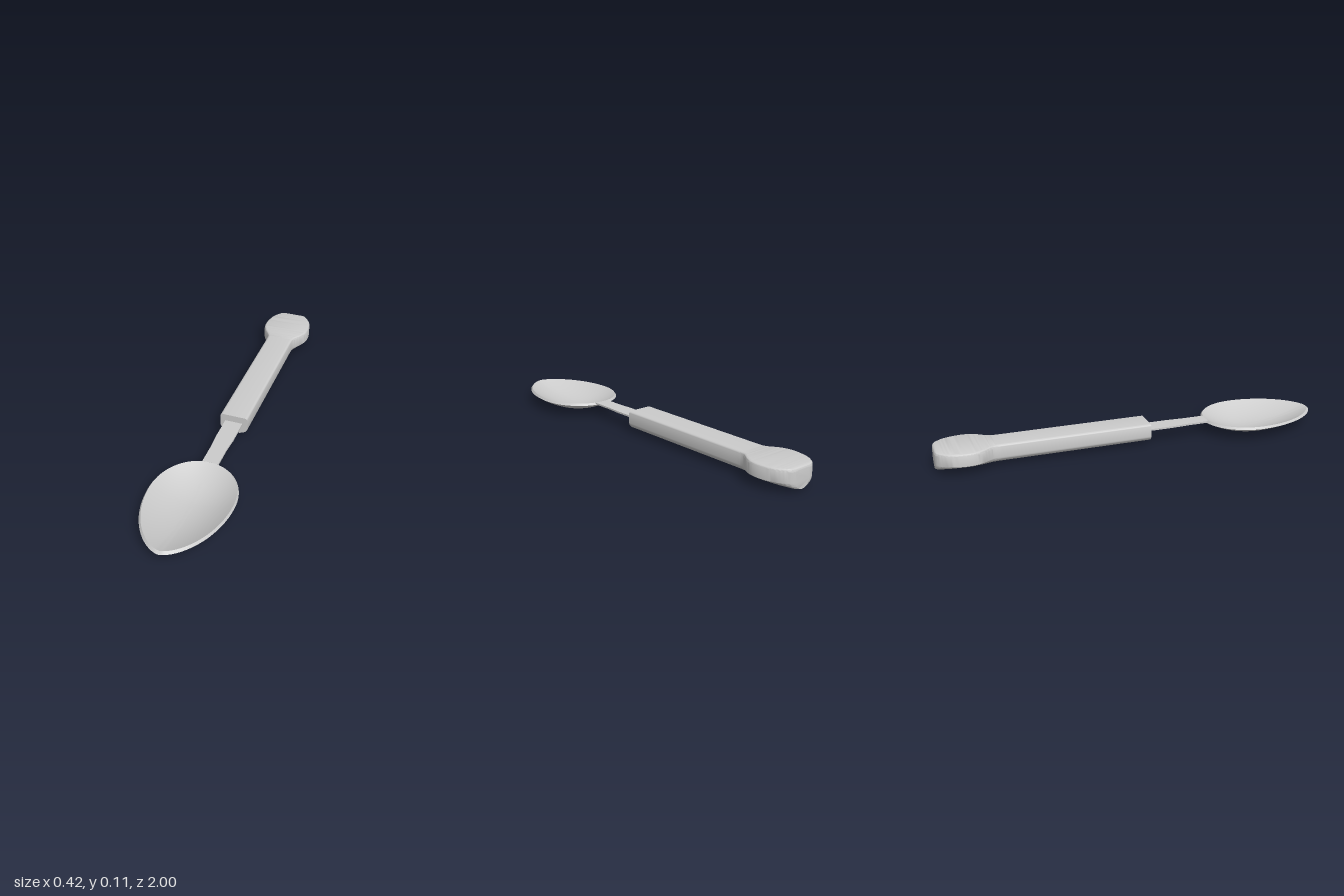
import * as THREE from 'three';
import { toCreasedNormals } from 'three/addons/utils/BufferGeometryUtils.js';

const material = new THREE.MeshStandardMaterial({ color: 0xcccccc });

// Closed solid through a list of rings with equal point counts.
function loft(rings, crease) {
  const n = rings[0].length, positions = [], index = [];
  rings.forEach(ring => ring.forEach(p => positions.push(p.x, p.y, p.z)));
  for (let i = 0; i < rings.length - 1; i++) {
    for (let j = 0; j < n; j++) {
      const k = (j + 1) % n;
      const a = i * n + j, b = i * n + k, c = b + n, d = a + n;
      index.push(a, b, c, a, c, d);
    }
  }
  const last = (rings.length - 1) * n;
  for (let j = 1; j < n - 1; j++) {
    index.push(0, j + 1, j, last, last + j, last + j + 1);
  }
  const geometry = new THREE.BufferGeometry();
  geometry.setAttribute('position', new THREE.Float32BufferAttribute(positions, 3));
  geometry.setIndex(index);
  return toCreasedNormals(geometry, crease);
}

function addPart(group, name, geometry) {
  const mesh = new THREE.Mesh(geometry, material);
  mesh.name = name;
  group.add(mesh);
}

// Egg-shaped ring of the bowl, scaled by t about its deepest point.
function bowlRing(t, y) {
  return Array.from({ length: 72 }, (_, j) => {
    const a = (j / 72) * Math.PI * 2;
    const c = Math.cos(a), s = -Math.sin(a);
    const power = s > 0 ? 1.25 : 0.97;
    const x = Math.sign(c) * Math.pow(Math.abs(c), power) * 0.208;
    return new THREE.Vector3(x * t, y, 0.63 + s * (s > 0 ? 0.37 : 0.245) * t);
  });
}

function bowlGeometry() {
  const rings = [], steps = 14;
  for (let i = 0; i <= steps; i++) {
    const t = Math.max(i / steps, 0.002);
    rings.push(bowlRing(t, 0.002 + 0.065 * t * t));
  }
  // Bevelled rim, then the hollow inside
  for (let i = steps; i >= 0; i--) {
    const t = Math.max(i / steps, 0.002);
    rings.push(bowlRing(t * 0.965, 0.013 + 0.065 * t * t));
  }
  return loft(rings, 0.5);
}

// Handle section: flat top, softened upper corners, bulging underside.
function handleRing(z, w, top) {
  const points = [], sideY = 0.052, bottom = 0.013, r = 0.014;
  const knob = THREE.MathUtils.clamp((w - 0.072) / 0.05, 0, 1);
  for (let i = 0; i <= 20; i++) {
    const a = (i / 20) * Math.PI;
    const u = -Math.cos(a);
    const drop = THREE.MathUtils.lerp(Math.sin(a), 1 - u * u, knob);
    points.push(new THREE.Vector3(u * w, sideY - (sideY - bottom) * drop, z));
  }
  for (const side of [1, -1]) {
    for (let i = 0; i <= 5; i++) {
      const a = ((side > 0 ? i : 5 - i) / 5) * Math.PI / 2;
      points.push(new THREE.Vector3(
        side * (w - r + r * Math.cos(a)), top - r + r * Math.sin(a), z));
    }
  }
  return points;
}

function handleGeometry() {
  // Half-width along the length: rounded end, waist, straight grip
  const outline = new THREE.SplineCurve([
    [-1, 0.045], [-0.993, 0.068], [-0.97, 0.092], [-0.93, 0.115], [-0.87, 0.127],
    [-0.82, 0.125], [-0.78, 0.11], [-0.75, 0.09], [-0.725, 0.076], [-0.69, 0.072],
    [-0.6, 0.072],
  ].map(([z, w]) => new THREE.Vector2(z, w)));
  const rings = outline.getPoints(50).map(p => {
    const round = THREE.MathUtils.clamp((p.x + 1) / 0.015, 0, 1);
    const top = 0.102 + 0.012 * Math.sqrt(1 - (1 - round) ** 2);
    return handleRing(p.x, p.y, top);
  });
  rings.push(handleRing(0.067, 0.072, 0.114));
  return loft(rings, 0.6);
}

// Flat strip that narrows slightly toward the bowl.
function neckGeometry() {
  const shape = new THREE.Shape([
    [-0.045, -0.02], [0.045, -0.02], [0.045, -0.2],
    [0.04, -0.28], [0.04, -0.395], [-0.04, -0.395], [-0.04, -0.28], [-0.045, -0.2],
  ].map(([x, y]) => new THREE.Vector2(x, y)));
  const geometry = new THREE.ExtrudeGeometry(shape, { depth: 0.009, bevelEnabled: false });
  return geometry.rotateX(-Math.PI / 2).translate(0, 0.069, 0);
}

export function createModel() {
  const group = new THREE.Group();
  group.name = 'spoon';
  addPart(group, 'bowl', bowlGeometry());
  addPart(group, 'neck', neckGeometry());
  addPart(group, 'handle', handleGeometry());
  return group;
}
